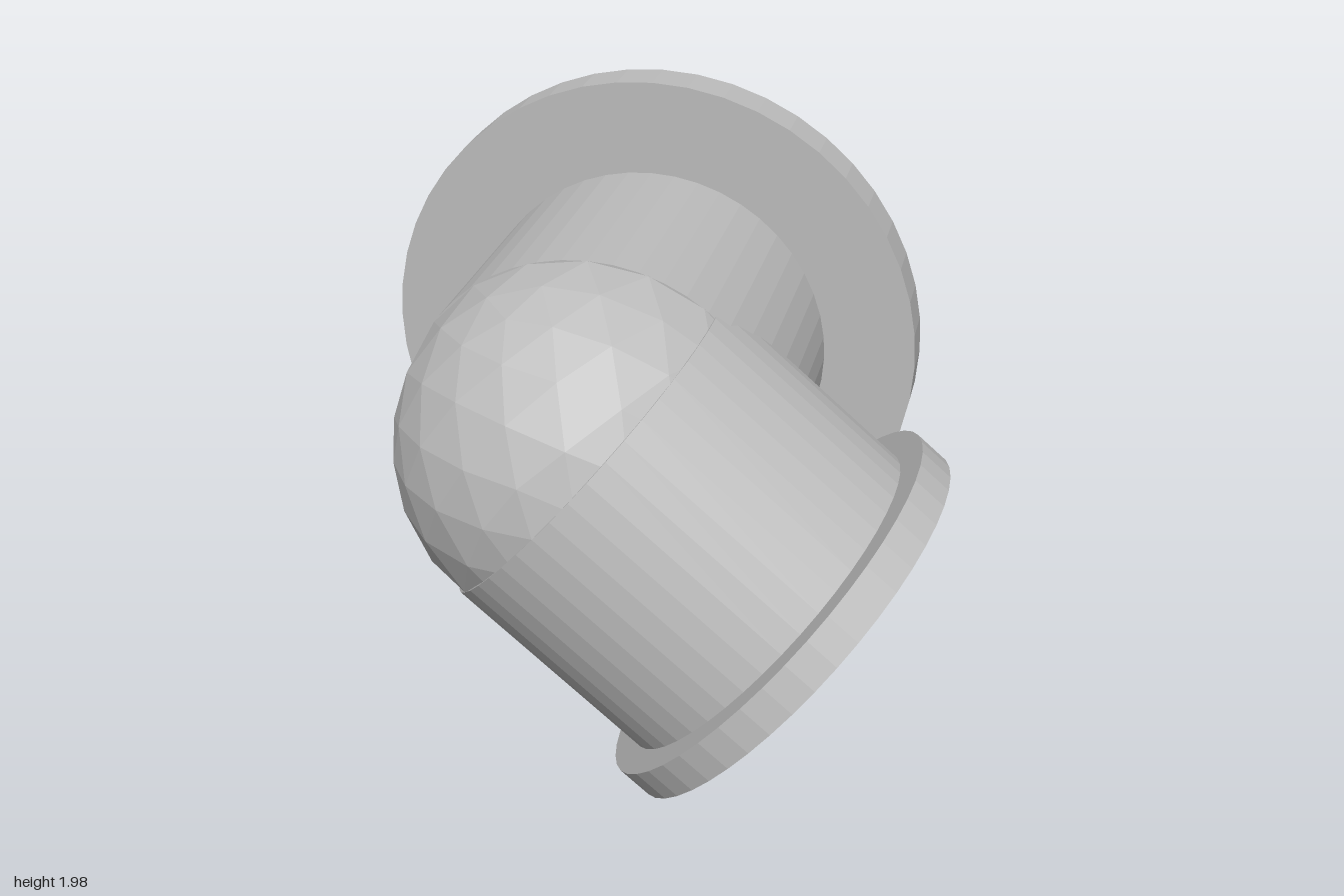
import * as THREE from 'three';

const RADIUS = 0.6;
const SIDES = 48;

export function createModel() {
  const group = new THREE.Group();
  group.name = 'pipeElbow';
  const grey = new THREE.MeshStandardMaterial({ color: 0xbcbcbc });
  grey.name = 'plain grey';
  grey.flatShading = true;

  // Everything radiates from the centre of the elbow
  const elbow = new THREE.Group();
  elbow.name = 'elbow';
  elbow.position.set(-0.1, 1.08, 0.12);
  group.add(elbow);

  // Faceted ball with one vertex pointing forwards
  const ballGeometry = new THREE.IcosahedronGeometry(RADIUS, 3);
  ballGeometry.rotateZ(Math.atan(2 / (1 + Math.sqrt(5))));
  ballGeometry.rotateX(Math.PI / 2);
  const ball = new THREE.Mesh(ballGeometry, grey);
  ball.name = 'elbowBall';
  elbow.add(ball);

  // A pipe along local +y, closed by a wider flange
  function branch(name, pipeLength, flangeRadius, flangeEnd) {
    const part = new THREE.Group();
    part.name = name;
    const add = (label, radius, from, to) => {
      const mesh = new THREE.Mesh(new THREE.CylinderGeometry(radius, radius, to - from, SIDES), grey);
      mesh.name = name + label;
      mesh.position.y = (from + to) / 2;
      part.add(mesh);
    };
    add('Pipe', RADIUS, 0, pipeLength);
    add('Flange', flangeRadius, pipeLength, flangeEnd);
    elbow.add(part);
    return part;
  }

  // Rear branch with the large flange
  branch('rear', 0.785, 0.903, 0.935).rotation.x = -Math.PI / 2;
  // Side branch sloping 40 degrees down to the left
  branch('side', 0.735, 0.695, 0.85).rotation.z = -THREE.MathUtils.degToRad(130);

  return group;
}
